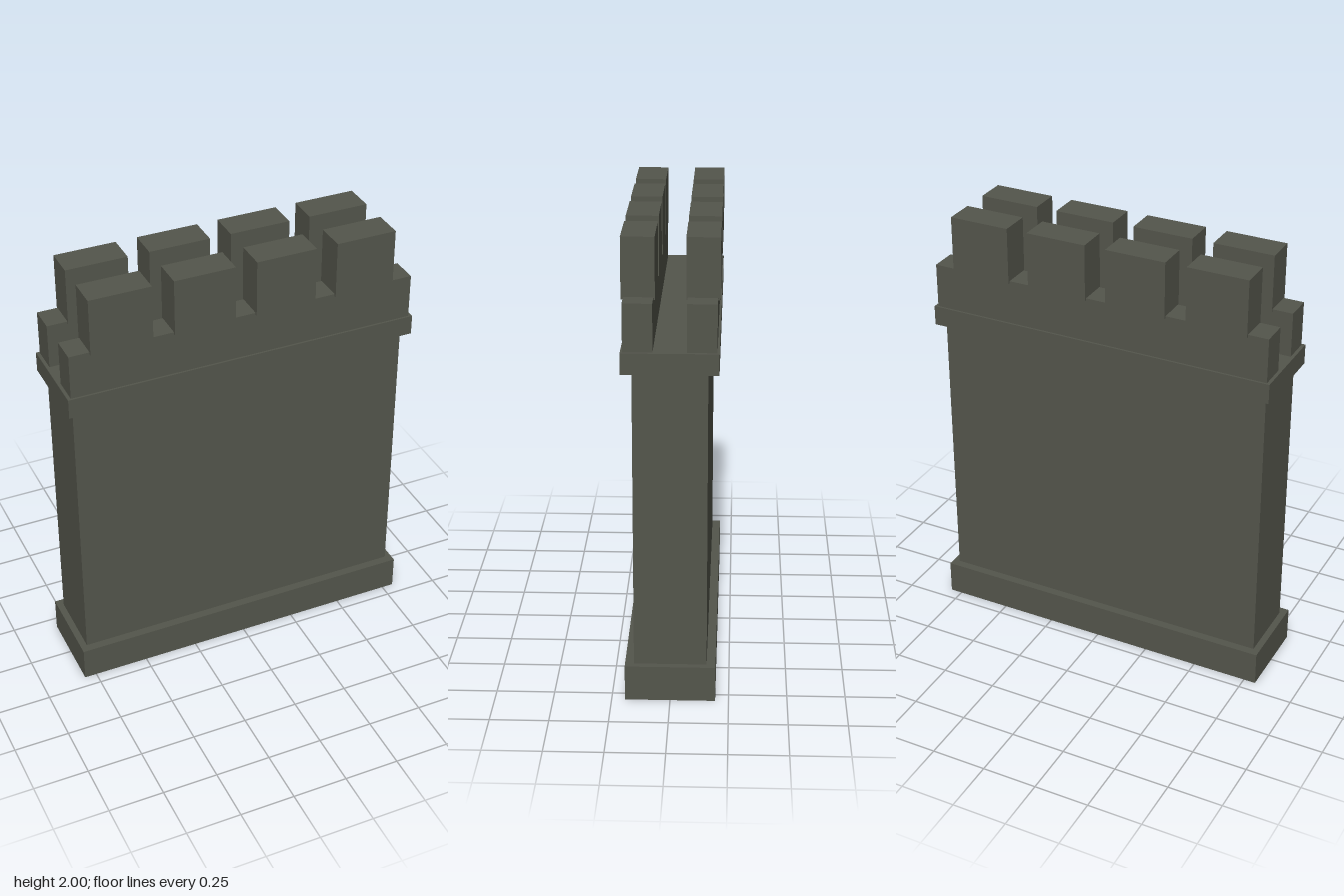
import * as THREE from 'three';

export function createModel() {
  const wall = new THREE.Group();
  wall.name = 'castleWall';
  const stone = new THREE.MeshStandardMaterial({ color: 0x54564c });
  stone.name = 'dark stone';

  // Box given by its centre in x and z, its size, and its bottom and top heights
  function block(name, x, z, width, depth, bottom, top) {
    const mesh = new THREE.Mesh(new THREE.BoxGeometry(width, top - bottom, depth), stone);
    mesh.name = name;
    mesh.position.set(x, (bottom + top) / 2, z);
    wall.add(mesh);
  }

  // Plinth, wall body and projecting walkway
  block('plinth', 0, 0, 1.61, 0.386, 0, 0.157);
  block('wallBody', 0, 0, 1.55, 0.31, 0.157, 1.46);
  block('walkway', 0, 0, 1.61, 0.4, 1.46, 1.55);

  // Parapet on each side, topped by four slightly overhanging merlons
  for (const [side, s] of [['front', 1], ['back', -1]]) {
    block(side + 'Parapet', 0, s * 0.13, 1.58, 0.122, 1.55, 1.752);
    for (let i = 0; i < 4; i++) {
      block(side + 'Merlon' + (i + 1), -0.56 + i * 0.372, s * 0.132, 0.276, 0.138, 1.742, 2);
    }
  }
  return wall;
}
